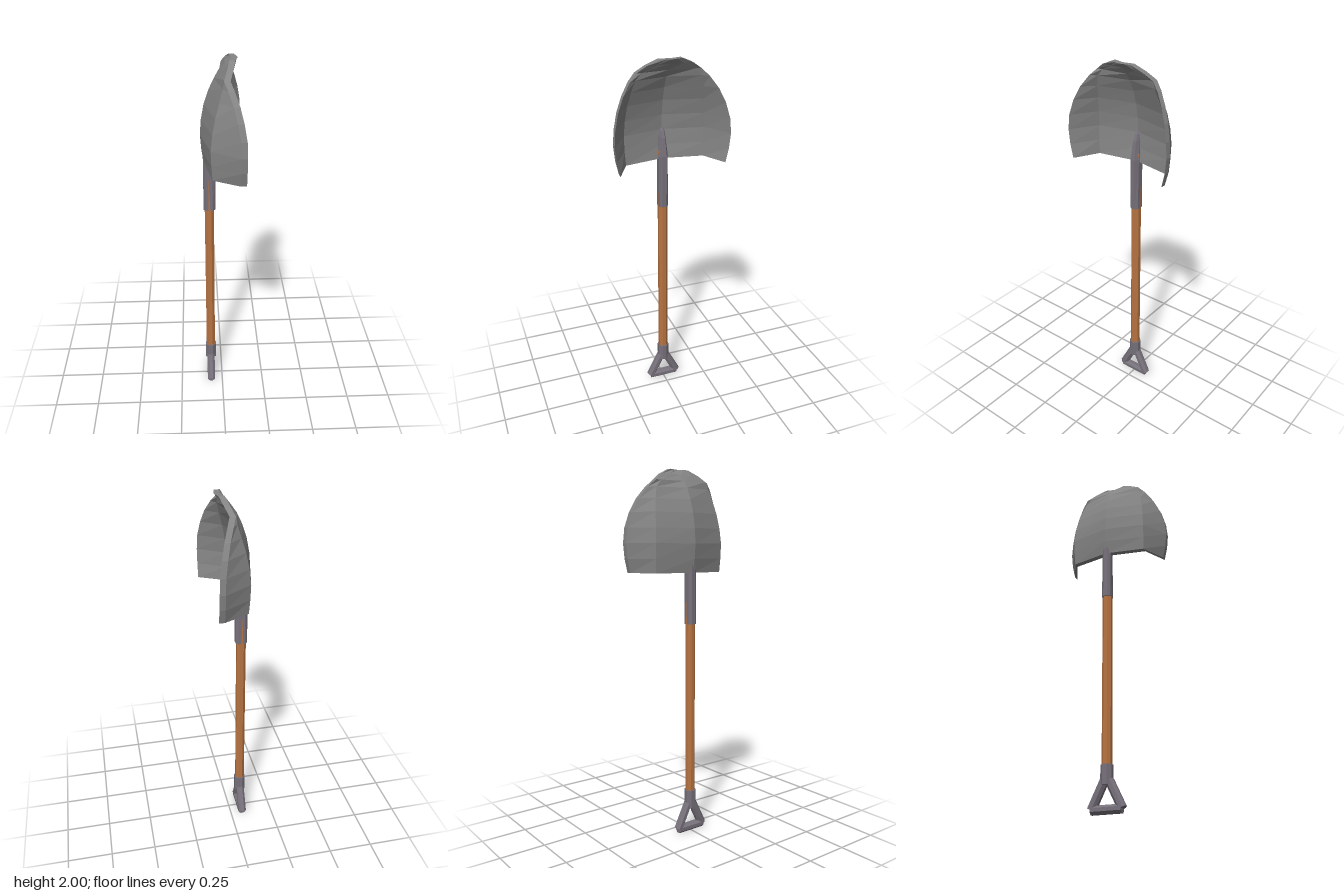
import * as THREE from 'three';

const AXIS_X = -0.068; // centre line of the shaft

const metal = new THREE.MeshStandardMaterial({ color: 0x77717b, flatShading: true });
const steel = new THREE.MeshStandardMaterial({ color: 0x858585, flatShading: true });
const wood = new THREE.MeshStandardMaterial({ color: 0xb87442, flatShading: true });

// Closed loft through rings; each ring runs along its -x side towards +z, then back along +x.
function loft(rings) {
  const n = rings[0].length;
  const index = [];
  const quad = (a, b, c, d) => index.push(a, b, c, a, c, d);
  for (let i = 0; i < rings.length - 1; i++) {
    for (let j = 0; j < n; j++) {
      const k = (j + 1) % n;
      quad(i * n + j, i * n + k, (i + 1) * n + k, (i + 1) * n + j);
    }
  }
  const top = (rings.length - 1) * n;
  for (let j = 0; j < n / 2 - 1; j++) {
    const [a, b, c, d] = [j, j + 1, n - 2 - j, n - 1 - j];
    quad(d, c, b, a);
    quad(top + a, top + b, top + c, top + d);
  }
  const g = new THREE.BufferGeometry();
  g.setAttribute('position', new THREE.Float32BufferAttribute(rings.flat(2), 3));
  g.setIndex(index);
  const flat = g.toNonIndexed();
  flat.computeVertexNormals();
  return flat;
}

function add(parent, name, geometry, material) {
  const mesh = new THREE.Mesh(geometry, material);
  mesh.name = name;
  parent.add(mesh);
  return mesh;
}

// Octagonal rod between two points
function rod(parent, name, from, to, radius, material) {
  const a = new THREE.Vector3(...from);
  const b = new THREE.Vector3(...to);
  const dir = b.clone().sub(a);
  const g = new THREE.CylinderGeometry(radius, radius, dir.length(), 8);
  g.rotateY(Math.PI / 8);
  const mesh = add(parent, name, g, material);
  mesh.position.copy(a).add(b).multiplyScalar(0.5);
  mesh.quaternion.setFromUnitVectors(new THREE.Vector3(0, 1, 0), dir.normalize());
  return mesh;
}

// Dished blade with folded sides and a forward-curled tip
function bladeGeometry() {
  const t = 0.03;
  // y, rim z, rim x, fold z, fold x, centre x (outer face)
  const rows = [
    [1.455, 0.285, 0.08, 0.215, -0.055, -0.095],
    [1.53, 0.302, 0.08, 0.219, -0.06, -0.106],
    [1.61, 0.31, 0.08, 0.22, -0.063, -0.112],
    [1.69, 0.303, 0.077, 0.215, -0.055, -0.106],
    [1.77, 0.282, 0.063, 0.205, -0.04, -0.091],
    [1.84, 0.25, 0.045, 0.19, -0.02, -0.068],
    [1.9, 0.208, 0.021, 0.173, -0.004, -0.04],
    [1.937, 0.17, 0.003, 0.14, -0.002, -0.014],
    [1.972, 0.12, 0.019, 0.07, 0.015, 0.012],
    [2.0, 0.058, 0.031, 0.03, 0.038, 0.045],
  ];
  return loft(rows.map(([y, ze, xe, zf, xf, xc]) => {
    const outer = [[xe, y, -ze], [xf, y, -zf], [xc, y, 0], [xf, y, zf], [xe, y, ze]];
    const inner = outer.map(([x, yy, z]) => [x + t, yy, z]).reverse();
    return [...outer, ...inner];
  }));
}

// Bevelled strap on the shaft: rows of y, half width, inner and outer distance from the axis
function strapGeometry(rows) {
  return loft(rows.map(([y, w, d0, d1]) => {
    const shoulder = d0 + (d1 - d0) * 0.5;
    return [[d0, y, -w], [d0, y, w], [shoulder, y, w],
      [d1, y, w * 0.5], [d1, y, -w * 0.5], [shoulder, y, -w]];
  }));
}

export function createModel() {
  const model = new THREE.Group();
  model.name = 'shovel';

  add(model, 'blade', bladeGeometry(), steel);

  // Shaft
  rod(model, 'shaft', [AXIS_X, 0.16, 0], [AXIS_X, 1.5, 0], 0.027, wood);

  // Straps fixing the blade to the shaft
  const innerStrap = add(model, 'innerStrap', strapGeometry([
    [1.18, 0.025, 0.005, 0.032],
    [1.47, 0.025, -0.01, 0.035],
    [1.57, 0.018, -0.02, 0.018],
    [1.605, 0.014, -0.025, 0.005],
    [1.62, 0.006, -0.025, -0.004],
  ]), metal);
  innerStrap.position.x = AXIS_X;
  const outerStrap = add(model, 'outerStrap', strapGeometry([
    [1.18, 0.025, 0.005, 0.031],
    [1.5, 0.025, 0.005, 0.031],
  ]), metal);
  outerStrap.position.x = AXIS_X;
  outerStrap.rotation.y = Math.PI;

  // Triangular grip
  const grip = new THREE.Group();
  grip.name = 'grip';
  grip.position.x = AXIS_X;
  model.add(grip);
  rod(grip, 'ferrule', [0, 0.14, 0], [0, 0.24, 0], 0.033, metal);
  for (const s of [-1, 1]) {
    rod(grip, s > 0 ? 'frontArm' : 'backArm', [0, 0.162, s * 0.014], [0, 0.024, s * 0.082], 0.024, metal);
  }
  rod(grip, 'crossbar', [0, 0.0222, -0.082], [0, 0.0222, 0.082], 0.024, metal);

  return model;
}
